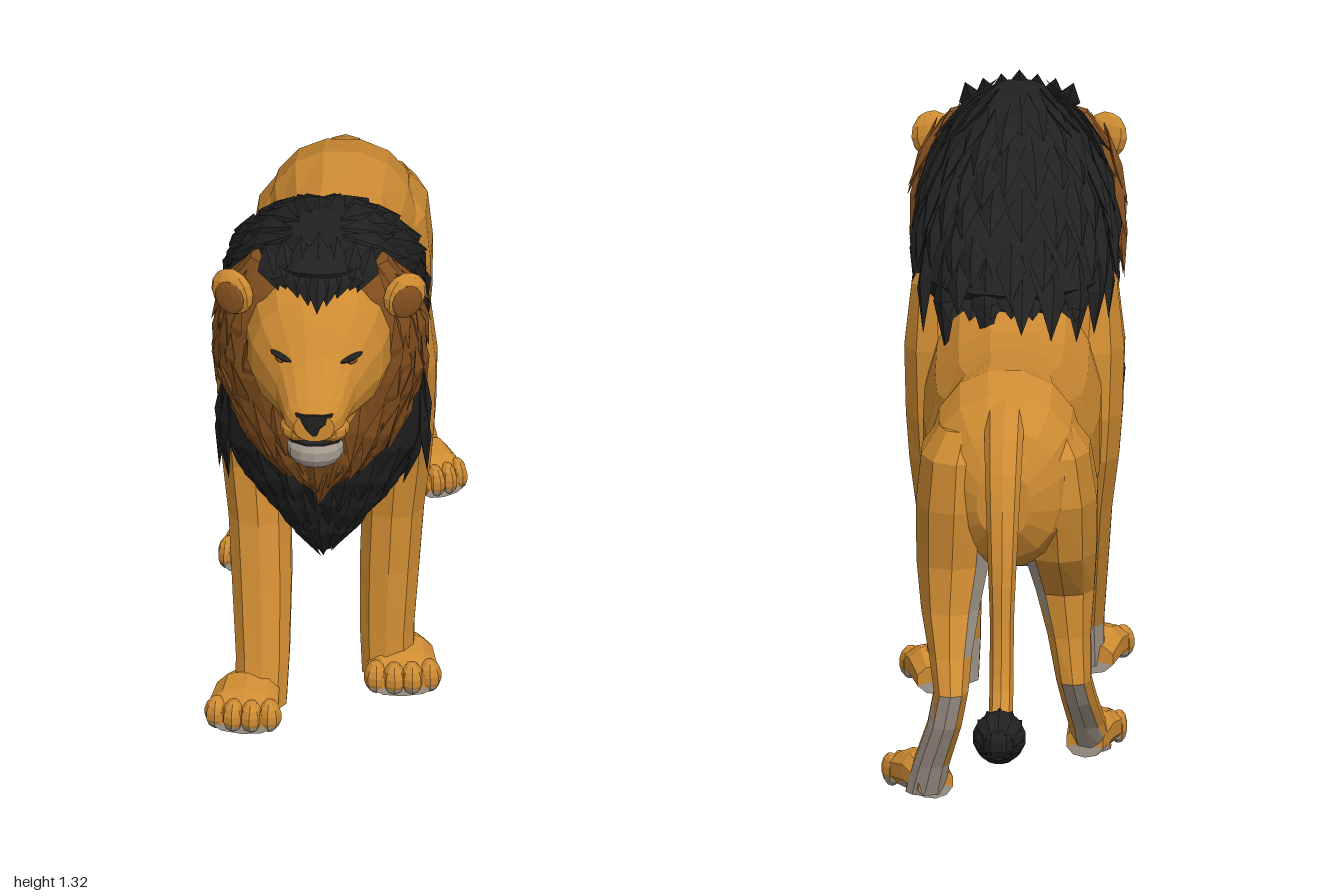
import * as THREE from 'three';
import { mergeGeometries } from 'three/addons/utils/BufferGeometryUtils.js';

const paint = (name, color) => Object.assign(new THREE.MeshStandardMaterial({ color }), { name });
const MATS = [
  paint('golden fur', 0xce8b32), paint('brown mane', 0x85501f),
  paint('black hair', 0x212121), paint('pale underside', 0xa59a8d),
];
const GOLD = 0, BROWN = 1, BLACK = 2, PALE = 3;

let seed = 7;
const rand = () => (seed = (seed * 16807) % 2147483647) / 2147483647;

// Faceted mesh; rule is a colour index or a function of face centre and normal
function part(name, geo, rule) {
  const g = geo.index ? geo.toNonIndexed() : geo;
  const p = g.attributes.position, buckets = [[], [], [], []];
  const t = new THREE.Triangle(), c = new THREE.Vector3(), n = new THREE.Vector3();
  for (let i = 0; i < p.count; i += 3) {
    t.setFromAttributeAndIndices(p, i, i + 1, i + 2);
    if (t.getArea() < 1e-9) continue;
    t.getMidpoint(c); t.getNormal(n);
    const k = typeof rule === 'function' ? rule(c, n) : rule;
    buckets[k].push(...t.a.toArray(), ...t.b.toArray(), ...t.c.toArray());
  }
  const out = new THREE.BufferGeometry();
  out.setAttribute('position', new THREE.Float32BufferAttribute(buckets.flat(), 3));
  let start = 0;
  buckets.forEach((b, k) => { if (b.length) out.addGroup(start, b.length / 3, k); start += b.length / 3; });
  out.computeVertexNormals();
  const mesh = new THREE.Mesh(out, typeof rule === 'function' ? MATS : MATS[rule]);
  mesh.name = name;
  return mesh;
}

// Ring of a horizontal slice [y, zFront, zBack, x, rx] or an upright slice [z, yTop, yBottom, x, rx]
const power = v => Math.sign(v) * Math.abs(v) ** 0.9;
function ringPoint([h, hi, lo, x, r], a, upright) {
  const u = x + r * power(Math.cos(a)), v = (hi + lo) / 2 + (hi - lo) / 2 * power(Math.sin(a));
  return upright ? new THREE.Vector3(u, v, h) : new THREE.Vector3(u, h, v);
}

// Closed skin through a list of slices
function loft(sections, n, upright = false) {
  const pos = [], idx = [], m = sections.length;
  for (const s of sections)
    for (let j = 0; j < n; j++) pos.push(...ringPoint(s, (j + 0.5) / n * Math.PI * 2, upright).toArray());
  for (const s of [sections[0], sections[m - 1]]) {
    const mid = (s[1] + s[2]) / 2;
    pos.push(...(upright ? [s[3], mid, s[0]] : [s[3], s[0], mid]));
  }
  for (let j = 0; j < n; j++) {
    const k = (j + 1) % n;
    for (let i = 0; i < m - 1; i++) {
      const a = i * n + j, b = i * n + k;
      idx.push(a, b, a + n, b, b + n, a + n);
    }
    idx.push(m * n, k, j, m * n + 1, (m - 1) * n + j, (m - 1) * n + k);
  }
  // Turn the faces outward whichever way the slices run
  const v = i => new THREE.Vector3().fromArray(pos, i * 3);
  let vol = 0;
  for (let i = 0; i < idx.length; i += 3) vol += v(idx[i]).dot(v(idx[i + 1]).cross(v(idx[i + 2])));
  if (vol < 0) idx.reverse();
  const g = new THREE.BufferGeometry();
  g.setAttribute('position', new THREE.Float32BufferAttribute(pos, 3));
  g.setIndex(idx);
  return g;
}

const blob = (x, y, z, sx, sy, sz, n = 10) =>
  new THREE.SphereGeometry(1, n, 7).scale(sx, sy, sz).translate(x, y, z).toNonIndexed();

// One flat lock of hair, pointed at both ends
function lock(pos, dir, out, len, w) {
  const Y = dir.clone().normalize(), X = Y.clone().cross(out).normalize(), Z = X.clone().cross(Y);
  const g = new THREE.OctahedronGeometry(1).scale(w, len / 2, w * 0.4).translate(0, len * 0.25, 0);
  return g.applyMatrix4(new THREE.Matrix4().makeBasis(X, Y, Z).setPosition(pos));
}

function sliceAt(sections, y) {
  let i = 0;
  while (i < sections.length - 2 && sections[i + 1][0] > y) i++;
  const a = sections[i], b = sections[i + 1], t = (y - a[0]) / (b[0] - a[0]);
  return a.map((v, k) => v + (b[k] - v) * t);
}

// Locks lying down the skin of a horizontally sliced volume
function locksOn(sections, levels, count, len, w, keep) {
  const list = [];
  levels.forEach((y, row) => {
    for (let j = 0; j < count; j++) {
      const a = (j + (row % 2) / 2 + rand() * 0.3) / count * Math.PI * 2;
      const yy = y + (rand() - 0.5) * 0.04;
      const p = ringPoint(sliceAt(sections, yy), a);
      const out = new THREE.Vector3(Math.cos(a), 0.25, Math.sin(a)).normalize();
      if (!keep(p, out)) continue;
      const dir = ringPoint(sliceAt(sections, yy - 0.05), a).sub(p).normalize().addScaledVector(out, 0.04);
      dir.z -= y > 0.9 ? 0.25 : 0;
      list.push(lock(p, dir, out, len * (0.8 + rand() * 0.5), w));
    }
  });
  return list;
}

// Paw with four toes and a pale sole
function paw(name, x, z, yaw, w, len) {
  const geos = [loft([[-len * 0.5, 0.07, 0, 0, w * 0.35], [-len * 0.15, 0.1, 0, 0, w * 0.43],
    [len * 0.15, 0.088, 0, 0, w * 0.47], [len * 0.38, 0.055, 0, 0, w * 0.42]], 10, true).toNonIndexed()];
  for (let i = 0; i < 4; i++) {
    const t = (i - 1.5) / 1.5, r = w * 0.16;
    geos.push(blob(t * w * 0.35, 0.038, len * (0.33 - Math.abs(t) * 0.08), r, 0.038, len * 0.17, 8));
  }
  geos.forEach(g => { g.deleteAttribute('uv'); g.deleteAttribute('normal'); });
  const mesh = part(name, mergeGeometries(geos), (c, n) => (c.y < 0.022 || n.y < -0.7 ? PALE : GOLD));
  mesh.position.set(x, 0, z);
  mesh.rotation.y = yaw;
  return mesh;
}

export function createModel() {
  const model = new THREE.Group();
  model.name = 'lion';
  const add = (...a) => { const m = part(...a); model.add(m); return m; };

  // Trunk with pale belly
  add('body', loft([
    [0.55, 0.95, 0.48, 0, 0.1], [0.48, 1.0, 0.45, 0, 0.16], [0.38, 0.97, 0.42, 0, 0.19],
    [0.24, 0.93, 0.41, 0, 0.2], [0.1, 0.905, 0.378, 0, 0.2], [-0.05, 0.9, 0.395, 0, 0.19],
    [-0.2, 0.915, 0.445, 0, 0.16], [-0.32, 0.925, 0.5, 0, 0.175], [-0.43, 0.895, 0.5, 0, 0.17],
    [-0.51, 0.835, 0.54, 0, 0.125], [-0.55, 0.75, 0.6, 0, 0.06],
  ], 16, true), (c, n) => (c.y < 0.5 && n.y < -0.3 ? PALE : GOLD));

  // Forelegs: one planted, one swung forward
  for (const [side, swing, label] of [[1, 0, 'left'], [-1, 0.16, 'right']]) {
    const rows = [
      [1.0, 0.42, 0.35, 0.168, 0.03], [0.94, 0.46, 0.305, 0.173, 0.058], [0.8, 0.495, 0.265, 0.165, 0.083],
      [0.65, 0.485, 0.25, 0.16, 0.084], [0.55, 0.46, 0.25, 0.156, 0.08], [0.42, 0.445, 0.27, 0.147, 0.072],
      [0.28, 0.45, 0.295, 0.14, 0.069], [0.12, 0.46, 0.335, 0.135, 0.062], [0.02, 0.47, 0.34, 0.138, 0.06],
    ].map(([y, f, b, x, r]) => {
      const s = swing * Math.max(0, 0.6 - y) / 0.6;
      return [y, f + s, b + s, x * side, r];
    });
    add(label + ' foreleg', loft(rows, 10), (c, n) => (c.y < 0.13 && n.z < -0.5 ? PALE : GOLD));
    model.add(paw(label + ' fore paw', 0.168 * side, 0.425 + swing * 1.17, 0.1 * side, 0.17, 0.2));
  }

  // Hind legs in mid stride, pale behind the hock and at the back of the inner thigh
  const hind = {
    left: [
      [0.82, -0.28, -0.48, 0.09, 0.06], [0.76, -0.23, -0.535, 0.105, 0.085], [0.65, -0.2, -0.55, 0.11, 0.092],
      [0.52, -0.245, -0.54, 0.115, 0.085], [0.42, -0.33, -0.56, 0.12, 0.068], [0.33, -0.43, -0.61, 0.118, 0.05],
      [0.26, -0.505, -0.66, 0.115, 0.04], [0.18, -0.515, -0.64, 0.13, 0.04], [0.08, -0.47, -0.595, 0.16, 0.042],
      [0.01, -0.46, -0.57, 0.175, 0.045]],
    right: [
      [0.82, -0.26, -0.45, -0.09, 0.06], [0.76, -0.2, -0.5, -0.105, 0.085], [0.65, -0.16, -0.51, -0.115, 0.092],
      [0.52, -0.17, -0.47, -0.12, 0.085], [0.42, -0.2, -0.38, -0.13, 0.068], [0.32, -0.25, -0.38, -0.14, 0.05],
      [0.22, -0.255, -0.4, -0.15, 0.04], [0.16, -0.19, -0.35, -0.16, 0.04], [0.08, -0.11, -0.25, -0.175, 0.042],
      [0.01, -0.09, -0.19, -0.185, 0.045]],
  };
  for (const label in hind) {
    const side = label === 'left' ? 1 : -1;
    add(label + ' hind leg', loft(hind[label], 10), (c, n) =>
      ((c.y < 0.24 && n.z < -0.4) || (c.y > 0.36 && c.y < 0.62 && n.x * side < -0.5 && n.z < -0.12) ? PALE : GOLD));
  }
  model.add(paw('left hind paw', 0.192, -0.47, 0.45, 0.125, 0.19));
  model.add(paw('right hind paw', -0.19, -0.105, -0.2, 0.125, 0.19));

  // Tail, broad at the root, and its tuft with a brown collar
  const tailPath = new THREE.CatmullRomCurve3([[0.86, -0.43], [0.83, -0.505], [0.78, -0.565], [0.7, -0.615], [0.55, -0.668],
    [0.4, -0.695], [0.28, -0.745], [0.225, -0.84]].map(([y, z]) => new THREE.Vector3(0, y, z)));
  const tail = new THREE.TubeGeometry(tailPath, 20, 0.028, 8), tp = tail.attributes.position;
  for (let i = 0; i < tp.count; i++) tp.setX(i, tp.getX(i) * (0.95 + 1.6 * Math.max(0, tp.getY(i) - 0.45)));
  add('tail', tail, GOLD);
  add('tuft collar', blob(0, 0.228, -0.855, 0.054, 0.05, 0.042), BROWN);
  const tuft = [blob(0, 0.236, -0.905, 0.06, 0.058, 0.08)];
  for (let i = 0; i < 12; i++) {
    const a = i / 12 * Math.PI * 2, out = new THREE.Vector3(Math.cos(a), Math.sin(a), 0);
    const p = new THREE.Vector3(0, 0.238, -0.9).addScaledVector(out, 0.05);
    tuft.push(lock(p, out.clone().multiplyScalar(-0.2).setZ(-1), out, 0.135, 0.028));
  }
  add('tail tuft', mergeGeometries(tuft), BLACK);

  // Black mane: core and layered locks
  const mane = [
    [1.295, 0.78, 0.6, 0, 0.06], [1.25, 0.825, 0.48, 0, 0.135], [1.17, 0.79, 0.36, 0, 0.19],
    [1.07, 0.78, 0.23, 0, 0.22], [0.97, 0.76, 0.13, 0, 0.222], [0.91, 0.75, 0.2, 0, 0.212],
    [0.84, 0.73, 0.4, 0, 0.226], [0.7, 0.68, 0.41, 0, 0.226], [0.58, 0.63, 0.41, 0, 0.158],
    [0.47, 0.575, 0.42, 0, 0.082], [0.38, 0.52, 0.48, 0, 0.02],
  ];
  add('mane', loft(mane, 18), BLACK);
  const dark = locksOn(mane, [1.27, 1.21, 1.14, 1.07, 1.0, 0.82, 0.74, 0.66, 0.58, 0.5], 22, 0.19, 0.034,
    (p, o) => !(o.z > 0.4 && p.y > 0.72) && !(p.y < 0.95 && o.z < -0.4));
  for (let i = -3; i <= 3; i++) {
    const d = Math.abs(i), front = new THREE.Vector3(0, 0.6, 1);
    // Crest, widow's peak and the fringe ending on the withers
    dark.push(
      lock(new THREE.Vector3(i * 0.032, 1.25 - d * 0.009, 0.8), new THREE.Vector3(i * 0.12, 1, -0.55), front, 0.11, 0.032),
      lock(new THREE.Vector3(i * 0.028, 1.245, 0.812 - d * 0.005), new THREE.Vector3(-i * 0.12, -1, 0.55), front, 0.12 - d * 0.02, 0.026),
      lock(new THREE.Vector3(i * 0.04, 0.97 - d * 0.008, 0.17 + d * 0.02), new THREE.Vector3(i * 0.08, -0.45, -1),
        new THREE.Vector3(0, 1, -0.4), 0.13, 0.034));
  }
  add('mane locks', mergeGeometries(dark), BLACK);

  // Brown ruff framing the face
  const ruff = [
    [1.24, 0.78, 0.66, 0, 0.155], [1.17, 0.8, 0.62, 0, 0.205], [1.08, 0.81, 0.59, 0, 0.228],
    [0.95, 0.8, 0.57, 0, 0.23], [0.82, 0.775, 0.59, 0, 0.185], [0.72, 0.74, 0.6, 0, 0.12],
    [0.65, 0.705, 0.6, 0, 0.04],
  ];
  add('ruff', loft(ruff, 16), BROWN);
  add('ruff locks', mergeGeometries(locksOn(ruff, [1.18, 1.1, 1.02, 0.94, 0.86, 0.78, 0.72], 22, 0.17, 0.03,
    (p, o) => o.z > -0.35 && !(p.y > 0.9 && Math.abs(p.x) < 0.15))), BROWN);

  // Head, jaw and muzzle
  add('head', loft([
    [0.64, 1.235, 0.86, 0, 0.15], [0.77, 1.23, 0.87, 0, 0.165], [0.83, 1.19, 0.885, 0, 0.148],
    [0.87, 1.14, 0.895, 0, 0.118], [0.905, 1.09, 0.9, 0, 0.09], [0.94, 1.05, 0.905, 0, 0.076],
    [0.97, 1.02, 0.91, 0, 0.066], [0.993, 0.99, 0.92, 0, 0.045],
  ], 16, true), GOLD);
  add('jaw', loft([[0.74, 0.95, 0.865, 0, 0.11], [0.82, 0.93, 0.855, 0, 0.08], [0.88, 0.9, 0.845, 0, 0.05]], 10, true), GOLD);
  add('chin', blob(0, 0.864, 0.916, 0.064, 0.046, 0.054, 12), PALE);
  add('mouth', blob(0, 0.902, 0.93, 0.066, 0.012, 0.052), BLACK);
  add('nose', loft([[0.988, 1.0, 0.965, 0, 0.045], [0.965, 1.0, 0.96, 0, 0.038], [0.935, 0.998, 0.95, 0, 0.01]], 8), BLACK);
  for (const s of [-1, 1]) {
    const side = s > 0 ? 'left ' : 'right ';
    add(side + 'whisker pad', blob(s * 0.036, 0.934, 0.947, 0.042, 0.032, 0.042), GOLD);
    const eye = new THREE.Group();
    eye.name = side + 'eye';
    eye.add(part('lash line', blob(0, 0.004, 0, 0.03, 0.005, 0.012, 8), BLACK),
      part('iris', blob(0, -0.003, 0, 0.014, 0.008, 0.011, 8), BROWN));
    eye.position.set(s * 0.079, 1.075, 0.89);
    eye.rotation.set(0, s * 0.6, s * 0.2);
    const ear = new THREE.Group();
    ear.name = side + 'ear';
    ear.add(part('ear shell', blob(0, 0, 0, 0.05, 0.056, 0.025), GOLD),
      part('inner ear', blob(0, -0.006, 0.021, 0.035, 0.04, 0.009), BROWN));
    ear.position.set(s * 0.192, 1.17, 0.765);
    ear.rotation.set(0, s * 0.35, -s * 0.3);
    model.add(eye, ear);
  }
  return model;
}
